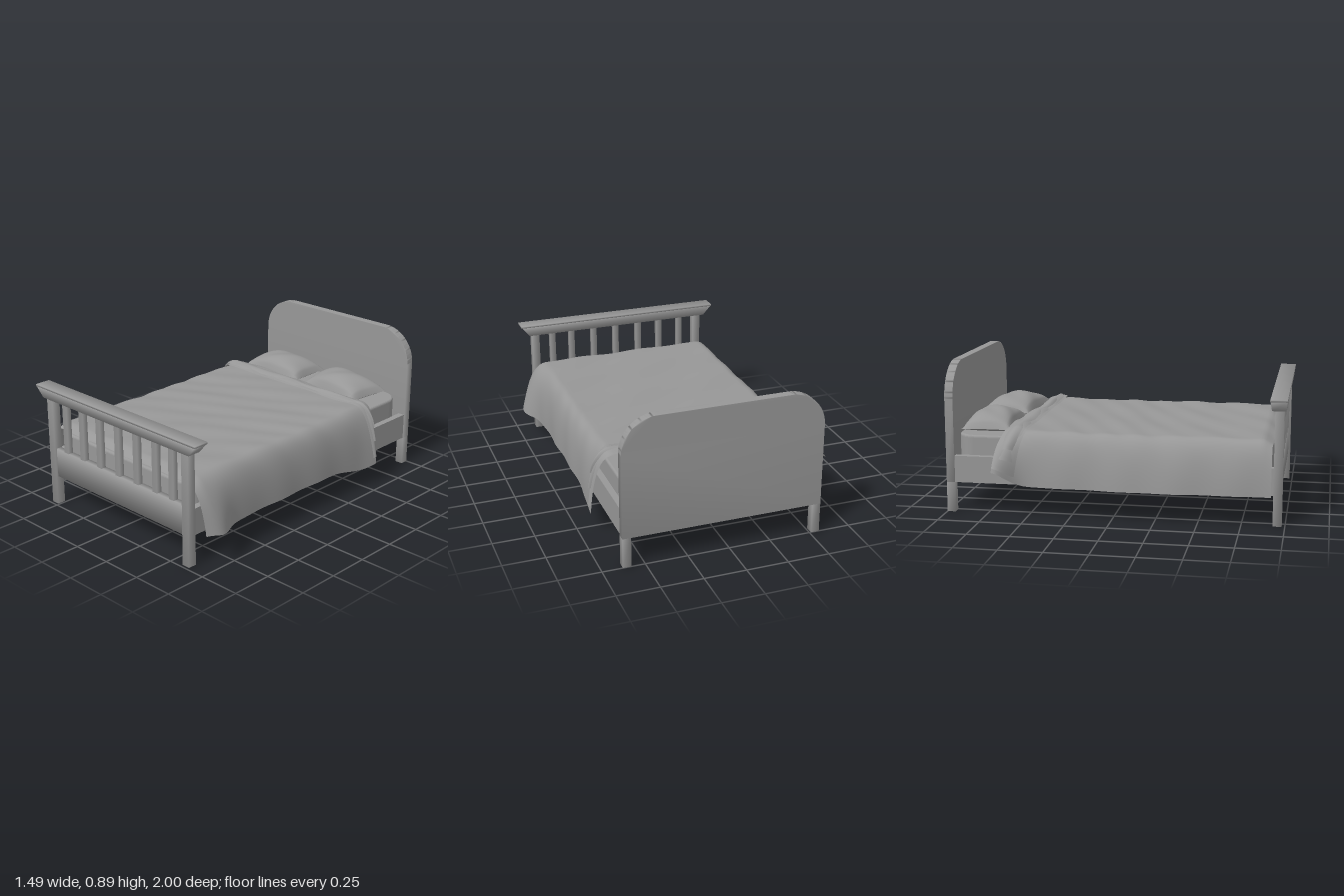
import * as THREE from 'three';
import { mergeVertices } from 'three/addons/utils/BufferGeometryUtils.js';

const CX = 0.035; // centre line of the frame
const lerp = THREE.MathUtils.lerp;
const near = (z, c, w) => Math.exp(-(((z - c) / w) ** 2));

export function createModel() {
  const bed = new THREE.Group();
  bed.name = 'bed';
  const solid = new THREE.MeshStandardMaterial({ color: 0x979797 });
  const cloth = new THREE.MeshStandardMaterial({ color: 0x979797, side: THREE.DoubleSide });

  function add(name, geometry, material = solid) {
    const mesh = new THREE.Mesh(geometry, material);
    mesh.name = name;
    bed.add(mesh);
    return mesh;
  }
  // Box given by its lower and upper limits on each axis
  function box(name, x0, x1, y0, y1, z0, z1) {
    const mesh = add(name, new THREE.BoxGeometry(x1 - x0, y1 - y0, z1 - z0));
    mesh.position.set((x0 + x1) / 2, (y0 + y1) / 2, (z0 + z1) / 2);
    return mesh;
  }
  // Smooth shading round the edges of a box, weighted per axis
  function soften(mesh, wx, wy, wz) {
    const { position: p, normal } = mesh.geometry.attributes;
    const n = new THREE.Vector3();
    for (let i = 0; i < p.count; i++) {
      n.set(Math.sign(p.getX(i)) * wx, Math.sign(p.getY(i)) * wy, Math.sign(p.getZ(i)) * wz).normalize();
      normal.setXYZ(i, n.x, n.y, n.z);
    }
  }
  // Sheet shaped by a rule: u runs across, v runs from foot to head
  function sheet(name, nu, nv, rule) {
    const g = new THREE.PlaneGeometry(1, 1, nu, nv);
    const p = g.attributes.position;
    for (let i = 0; i < p.count; i++) p.setXYZ(i, ...rule(p.getX(i) + 0.5, p.getY(i) + 0.5));
    g.computeVertexNormals();
    return add(name, g, cloth);
  }

  // Headboard with large rounded top corners, shaded smoothly round its edge
  const w = 0.595, r = 0.21;
  const board = new THREE.Shape();
  board.moveTo(-w, 0.18);
  board.lineTo(w, 0.18);
  board.lineTo(w, 0.89 - r);
  board.absarc(w - r, 0.89 - r, r, 0, Math.PI / 2);
  board.absarc(r - w, 0.89 - r, r, Math.PI / 2, Math.PI);
  board.closePath();
  const boardGeometry = new THREE.ExtrudeGeometry(board, { depth: 0.05, bevelEnabled: false, curveSegments: 20 });
  boardGeometry.deleteAttribute('uv');
  boardGeometry.deleteAttribute('normal');
  const welded = mergeVertices(boardGeometry);
  welded.computeVertexNormals();
  add('headboard', welded).position.set(CX, 0, -1);

  // Legs, posts and side rails
  for (const s of [-1, 1]) {
    const a = CX + s * 0.595, b = CX + s * 0.545;
    const x0 = Math.min(a, b), x1 = Math.max(a, b);
    soften(box('headLeg', x0, x1, 0, 0.18, -1, -0.95), 1, 0.3, 1);
    soften(box('footPost', x0, x1, 0, 0.68, 0.93, 0.982), 1, 0.3, 1);
    box('sideRail', x0 + 0.005, x1 - 0.005, 0.18, 0.34, -0.95, 0.93);
  }

  // Footboard: panel, slats and flared top rail
  soften(box('footPanel', CX - 0.545, CX + 0.545, 0.18, 0.36, 0.935, 0.97), 0.3, 1, 1);
  for (const x of [-0.413, -0.265, -0.115, 0.045, 0.2, 0.355, 0.487]) {
    soften(box('slat', x - 0.019, x + 0.019, 0.36, 0.68, 0.94, 0.972), 0.8, 0, 1);
  }
  const rail = box('footRail', -0.632, 0.7, 0.675, 0.738, 0.905, 1);
  const rp = rail.geometry.attributes.position;
  for (let i = 0; i < rp.count; i++) {
    if (rp.getY(i) < 0) {
      rp.setX(i, rp.getX(i) - Math.sign(rp.getX(i)) * 0.052);
      rp.setZ(i, rp.getZ(i) * 0.84);
    }
  }
  soften(rail, 0.4, 0.8, 1);
  soften(box('footRailCap', -0.636, 0.703, 0.736, 0.747, 0.904, 1), 0.3, 1, 0.6);

  // Mattress with rounded plan corners
  const mw = 0.54, mz = 0.925, mr = 0.1;
  const plan = new THREE.Shape();
  plan.absarc(mw - mr, mz - mr, mr, 0, Math.PI / 2);
  plan.absarc(mr - mw, mz - mr, mr, Math.PI / 2, Math.PI);
  plan.absarc(mr - mw, mr - mz, mr, Math.PI, Math.PI * 1.5);
  plan.absarc(mw - mr, mr - mz, mr, Math.PI * 1.5, Math.PI * 2);
  plan.closePath();
  const mattress = add('mattress', new THREE.ExtrudeGeometry(plan, {
    depth: 0.22, bevelThickness: 0.015, bevelSize: 0.012, bevelSegments: 4, curveSegments: 10,
  }));
  mattress.rotation.x = -Math.PI / 2;
  mattress.position.set(CX, 0.225, -0.012);

  // Pillows: puffed sheets with pinched edges and soft corners
  function pillow(x, z, turn, halfX, halfZ, skew) {
    const group = new THREE.Group();
    group.name = 'pillow';
    for (const side of [1, -1]) {
      group.add(sheet(side > 0 ? 'pillowTop' : 'pillowBottom', 28, 20, (u, v) => {
        const a = u * 2 - 1, b = 1 - v * 2;
        const puff = Math.sqrt((1 - a * a) * (1 - Math.abs(b) ** 2.5));
        const crease = 0.004 * Math.sin(a * 6 + b * 4) * puff;
        return [
          a * halfX * (1 - 0.04 * (1 - b * b)) - b * skew * (1 - a) / 2,
          side > 0 ? puff * 0.096 + crease : -puff * 0.03,
          b * halfZ * (1 - 0.06 * (1 - a * a)),
        ];
      }));
    }
    group.position.set(x, 0.489, z);
    group.rotation.y = turn;
    bed.add(group);
  }
  pillow(-0.255, -0.78, 0.02, 0.225, 0.148, 0);
  pillow(0.26, -0.775, -0.12, 0.235, 0.152, -0.03);

  // Blanket drape: s goes from the right hem (-1) over the top to the left hem (1)
  function drape(s, z, lift) {
    const side = Math.sign(s), t = Math.max(0, (Math.abs(s) - 0.58) / 0.42);
    const footDrop = 0.03 * THREE.MathUtils.smoothstep(z, 0.86, 0.93);
    const top = 0.5 + lift - footDrop
      + 0.004 * Math.sin(11 * (s * 0.6 + z)) * Math.sin(5 * (s - z))
      + 0.0025 * Math.sin(26 * (s * 0.6 + z) + 2 * Math.sin(4 * z));
    if (t === 0) return [0.02 + (s / 0.58) * 0.53, top, z];
    // Hem position differs along each side and flares near some corners
    const flare = side < 0 ? near(z, -0.68, 0.1) : 0;
    const hemX = side > 0
      ? 0.642 + 0.075 * near(z, 0.82, 0.12) + 0.03 * near(z, -0.6, 0.12)
      : 0.645 + 0.022 * near(z, 0.2, 0.35) + 0.125 * flare;
    const hemY = side > 0
      ? 0.175 - 0.05 * near(z, -0.5, 0.2) + 0.02 * near(z, 0.9, 0.08)
      : 0.185 + 0.11 * flare;
    const k = 1 - t;
    const fold = 0.004 * t * Math.sin(z * 19 + side + 2 * t);
    const x = k * k * 0.53 + 2 * k * t * 0.64 + t * t * hemX + fold + lift * Math.min(1, t * 2);
    const y = k * k * top + 2 * k * t * (top - 0.05 * flare) + t * t * hemY;
    return [0.02 + side * x, y, z];
  }
  const headEdge = (s) => lerp(-0.67, -0.595, (s + 1) / 2) + 0.008 * Math.sin(s * 9);

  sheet('blanket', 90, 90, (u, v) => {
    const s = u * 2 - 1;
    return drape(s, lerp(0.92, headEdge(s), v), 0);
  });

  // Turned-down cuff: three loose layers, each narrower than the one below
  for (let layer = 0; layer < 3; layer++) {
    sheet('blanketCuff', 80, 12, (u, v) => {
      const s = (u * 2 - 1) * (0.97 - layer * 0.07);
      const end = headEdge(s) + layer * 0.012;
      const start = lerp(-0.51, -0.58, Math.max(0, Math.abs(s) - 0.6) * 2) - layer * 0.012;
      const ripple = 0.003 * Math.sin(s * 13 + layer * 2);
      const lift = 0.004 + (0.013 + layer * 0.006) * Math.sin(Math.PI * Math.min(1, v * 0.85 + 0.15)) + ripple;
      return drape(s, lerp(start, end, v), lift);
    });
  }
  return bed;
}
